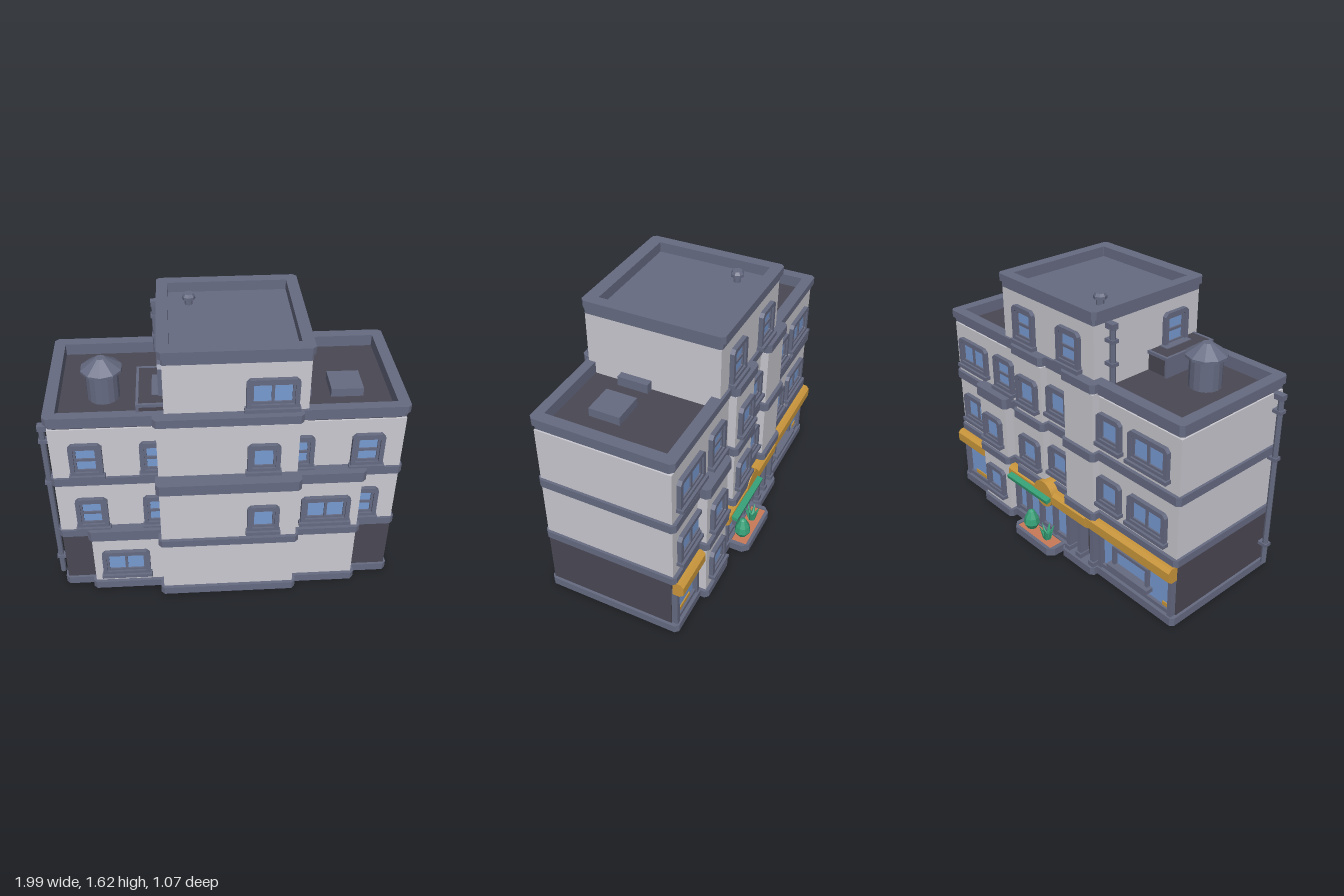
import * as THREE from 'three';

const mat = (name, color) => Object.assign(new THREE.MeshStandardMaterial({ color }), { name });
const M = {
  wall: mat('pale wall', 0xcac9d0),
  trim: mat('slate trim', 0x666b82),
  dark: mat('dark plaster', 0x4a4753),
  glass: mat('blue glass', 0x789bd2),
  gold: mat('mustard sign', 0xcb973c),
  green: mat('leaf green', 0x36a077),
  clay: mat('terracotta', 0xc87a58),
};
for (const key of ['trim', 'green']) M[key].flatShading = true;

export function createModel() {
  const root = new THREE.Group();
  root.name = 'building';

  const add = (name, geo, m, parent = root) => {
    const mesh = new THREE.Mesh(geo, m);
    mesh.name = name;
    parent.add(mesh);
    return mesh;
  };
  // box from its limits
  const box = (name, x0, x1, y0, y1, z0, z1, m, parent = root) => {
    const b = add(name, new THREE.BoxGeometry(x1 - x0, y1 - y0, z1 - z0), m, parent);
    b.position.set((x0 + x1) / 2, (y0 + y1) / 2, (z0 + z1) / 2);
    return b;
  };
  // rectangle with cut corners; b = cut of the lower corners
  const cutRect = (x0, x1, y0, y1, c, b = c, Type = THREE.Shape) => new Type([
    [x0 + b, y0], [x1 - b, y0], [x1, y0 + b], [x1, y1 - c],
    [x1 - c, y1], [x0 + c, y1], [x0, y1 - c], [x0, y0 + b],
  ].map(([x, y]) => new THREE.Vector2(x, y)));
  const extrude = (shape, depth) => new THREE.ExtrudeGeometry(shape, { depth, bevelEnabled: false });
  // horizontal slab with cut corners and optional rectangular holes [x0, x1, z0, z1]
  const slab = (name, x0, x1, z0, z1, y0, y1, m = M.trim, holes = [], c = 0.02) => {
    const s = cutRect(x0, x1, -z1, -z0, c);
    for (const [a, b, d, e] of holes) s.holes.push(cutRect(a, b, -e, -d, 0.001, 0.001, THREE.Path));
    const g = extrude(s, y1 - y0);
    g.rotateX(-Math.PI / 2);
    return Object.assign(add(name, g, m), {}).position.set(0, y0, 0);
  };
  const cyl = (name, rt, rb, y0, y1, x, z, m, n = 12) =>
    add(name, new THREE.CylinderGeometry(rt, rb, y1 - y0, n), m).position.set(x, (y0 + y1) / 2, z);

  // main storeys and their cornices
  box('groundFloor', -0.94, 0.98, 0.04, 0.4, -0.365, 0.39, M.dark);
  box('upperFloors', -0.94, 0.98, 0.4, 1.15, -0.38, 0.39, M.wall);
  slab('basePlinth', -0.955, 0.995, -0.41, 0.405, 0, 0.05);
  slab('firstCornice', -0.955, 0.995, -0.4, 0.405, 0.39, 0.435);
  slab('secondCornice', -0.955, 0.995, -0.4, 0.405, 0.775, 0.825);
  slab('roofFloor', -0.93, 0.97, -0.37, 0.38, 1.14, 1.165, M.dark);
  slab('roofUnderband', -0.945, 0.985, -0.388, 0.396, 1.165, 1.19, M.trim, [[-0.89, 0.93, -0.335, 0.35]]);
  slab('roofParapet', -0.955, 0.995, -0.4, 0.405, 1.19, 1.235, M.trim, [[-0.89, 0.93, -0.335, 0.35]]);

  // projecting bays: x0, x1, wall depth, cornice levels
  const bay = (name, x0, x1, z, y0, levels) => {
    const top = levels[levels.length - 1][1];
    const s = Math.sign(z);
    const span = (p) => (s > 0 ? [0.3, z + p] : [z - p, -0.3]);
    box(name + 'Wall', x0, x1, y0, top - 0.01, ...span(0), M.wall);
    for (const [a, b] of levels) slab(name + 'Cornice', x0 - 0.018, x1 + 0.018, ...span(0.02), a, b);
  };
  const low = [[0, 0.05], [0.39, 0.435]], two = [...low, [0.78, 0.845]];
  bay('frontMiddleBay', -0.365, 0.4, 0.505, 0.02, two);
  bay('frontLowBay', -0.77, -0.3, 0.433, 0.02, [[0, 0.05], [0.39, 0.46]]);
  bay('frontSideBay', 0.35, 0.765, 0.45, 0.02, two);
  bay('backSideBay', 0.43, 0.69, -0.435, 0.02, two);
  // upper bays carry the roof edge
  const upper = [[0.39, 0.435], [0.775, 0.825]];
  for (const [name, x0, x1, z] of [['frontUpperBay', -0.365, 0.4, 0.435],
    ['backWindowBay', 0.08, 0.32, -0.425], ['backBlankBay', -0.35, -0.12, -0.425]]) {
    const s = Math.sign(z), span = (inner, p) => (s > 0 ? [inner, z + p] : [z - p, -inner]);
    box(name + 'Wall', x0, x1, s > 0 ? 0.8 : 0.4, 1.17, ...span(0.36, 0), M.wall);
    slab(name + 'Edge', x0 - 0.018, x1 + 0.018, ...span(0.37, 0.018), 1.185, 1.235);
    if (s < 0) for (const [a, b] of upper) slab(name + 'Cornice', x0 - 0.018, x1 + 0.018, ...span(0.3, 0.022), a, b);
  }

  // tower
  box('towerWall', -0.32, 0.445, 1.15, 1.55, -0.385, 0.39, M.wall);
  const towerHole = [[-0.28, 0.395, -0.34, 0.33]];
  slab('towerUnderband', -0.325, 0.45, -0.39, 0.395, 1.535, 1.572, M.trim, towerHole, 0.01);
  slab('towerParapet', -0.343, 0.46, -0.405, 0.405, 1.572, 1.615, M.trim, towerHole);
  box('towerRoof', -0.3, 0.41, 1.54, 1.556, -0.36, 0.35, M.trim);

  // windows, centred on x with the outer frame from y to y + h
  const windowUnit = (type, x, y, z, ry = 0) => {
    const g = new THREE.Group();
    g.name = type + 'Window';
    const w = type === 'wide' ? 0.28 : 0.18, h = type === 'tall' ? 0.21 : 0.18;
    const ring = (name, inset, t, d, c) => {
      const a = w / 2 - inset, b = a - t;
      const s = cutRect(-a, a, inset, h - inset, c, 0.003);
      s.holes.push(cutRect(-b, b, inset + t, h - inset - t, c * 0.5, 0.002, THREE.Path));
      add(name, extrude(s, d), M.trim, g);
    };
    ring('outerFrame', 0, 0.025, 0.025, 0.02);
    ring('innerFrame', 0.025, 0.014, 0.014, 0.006);
    const a = w / 2 - 0.03;
    box('pane', -a, a, 0.03, h - 0.03, 0, 0.005, M.glass, g);
    if (type === 'wide') box('mullion', -0.008, 0.008, 0.03, h - 0.03, 0, 0.014, M.trim, g);
    if (type === 'tall') box('crossbar', -a, a, h / 2 - 0.008, h / 2 + 0.008, 0, 0.014, M.trim, g);
    box('sill', -w / 2 - 0.008, w / 2 + 0.008, -0.016, 0.006, 0, 0.04, M.trim, g);
    g.position.set(x, y, z);
    g.rotation.y = ry;
    root.add(g);
  };
  // front
  for (const x of [-0.75, -0.37, 0.4, 0.785]) windowUnit('tall', x, 0.85, 0.39);
  for (const x of [-0.75, -0.37, 0.79]) windowUnit('tall', x, 0.465, 0.39);
  windowUnit('square', 0.21, 0.87, 0.435);
  windowUnit('square', 0.21, 0.49, 0.505);
  windowUnit('wide', 0.57, 0.49, 0.45);
  windowUnit('wide', -0.58, 0.115, 0.433);
  windowUnit('wide', 0.25, 1.26, 0.39);
  // back
  for (const y of [0.5, 0.89]) {
    for (const x of [0.79, -0.73]) windowUnit('wide', x, y, -0.38, Math.PI);
    windowUnit('square', 0.2, y, -0.425, Math.PI);
    for (const x of [-0.02, -0.44]) windowUnit('square', x, y, -0.38, Math.PI);
  }
  windowUnit('square', 0.56, 0.5, -0.435, Math.PI);
  windowUnit('square', 0.56, 0.13, -0.435, Math.PI);
  windowUnit('tall', 0.48, 0.87, -0.38, Math.PI);
  for (const x of [0.25, -0.13]) windowUnit('tall', x, 1.255, -0.385, Math.PI);
  windowUnit('tall', -0.32, 1.255, 0.2, -Math.PI / 2);

  // shop fronts: glass with posts and rails
  const shop = (x0, x1, posts) => {
    box('shopGlass', x0, x1, 0.05, 0.32, -0.372, -0.366, M.glass);
    box('shopRail', x0, x1, 0.05, 0.075, -0.39, -0.36, M.trim);
    for (const x of posts) box('shopPost', x - 0.013, x + 0.013, 0.05, 0.32, -0.4, -0.36, M.trim);
  };
  shop(0.71, 0.97, [0.72, 0.96]);
  shop(-0.93, -0.36, [-0.92, -0.37]);
  shop(-0.1, 0.42, [-0.09, 0.04, 0.17, 0.3, 0.41]);
  box('goldPanel', -0.9, -0.85, 0.075, 0.1, -0.378, -0.37, M.gold);
  box('goldPanel', 0.78, 0.9, 0.075, 0.1, -0.378, -0.37, M.gold);
  // framed display ledge in the large shop window
  for (const x of [-0.74, -0.48]) box('displayPost', x - 0.01, x + 0.01, 0.12, 0.25, -0.395, -0.37, M.trim);
  box('displayRail', -0.75, -0.47, 0.235, 0.255, -0.395, -0.37, M.trim);
  box('displaySill', -0.77, -0.45, 0.11, 0.135, -0.42, -0.37, M.trim);
  // entrance
  for (const x of [-0.12, -0.22, -0.33]) {
    box('doorPillar', x - 0.015, x + 0.015, 0.05, 0.31, -0.425, -0.36, M.trim);
    box('pillarFoot', x - 0.022, x + 0.022, 0.05, 0.08, -0.435, -0.36, M.trim);
  }
  slab('entranceStep', -0.36, -0.08, -0.45, -0.36, 0, 0.05);

  // sign bands with a round badge
  const sign = (x0, x1, z) => {
    const s = new THREE.Shape([[0, 0.3], [0.04, 0.3], [0.065, 0.32], [0.065, 0.375], [0.045, 0.395], [0, 0.395]]
      .map(([a, b]) => new THREE.Vector2(a, b)));
    const g = extrude(s, x1 - x0);
    g.rotateY(Math.PI / 2);
    const m = add('signBand', g, M.gold);
    m.position.set(x0, 0, z);
  };
  sign(0.71, 0.98, -0.375);
  sign(-0.3, 0.41, -0.385);
  sign(-0.945, -0.3, -0.375);
  const badge = add('signBadge', new THREE.CylinderGeometry(0.085, 0.085, 0.075, 16), M.gold);
  badge.rotation.x = Math.PI / 2;
  badge.position.set(0.07, 0.36, -0.415);
  const awning = box('awning', 0, 0.38, 0.335, 0.36, -0.485, -0.435, M.green);
  awning.rotation.x = -0.2;

  // planter and plants
  slab('planterRim', -0.07, 0.3, -0.525, -0.36, 0, 0.05, M.trim, [[-0.045, 0.275, -0.505, -0.38]], 0.035);
  box('planterSoil', -0.05, 0.28, 0.005, 0.042, -0.508, -0.375, M.clay);
  const bush = add('roundBush', new THREE.LatheGeometry([[0, 0], [0.03, 0.005], [0.05, 0.04], [0.042, 0.08], [0.02, 0.125], [0, 0.135]]
    .map(([r, y]) => new THREE.Vector2(r, y)), 8), M.green);
  bush.position.set(0.2, 0.04, -0.45);
  for (let i = 0; i < 6; i++) {
    const leaf = add('spikyLeaf', new THREE.ConeGeometry(0.02, 0.11, 5), M.green);
    const a = i * Math.PI / 3;
    leaf.position.set(0.05 + 0.025 * Math.cos(a), 0.085, -0.45 + 0.025 * Math.sin(a));
    leaf.rotation.set(0.4 * Math.sin(a), 0, -0.4 * Math.cos(a));
  }

  // water tank
  cyl('tankBody', 0.09, 0.09, 1.16, 1.34, -0.65, 0.1, M.trim, 16);
  cyl('tankEave', 0.115, 0.115, 1.335, 1.35, -0.65, 0.1, M.trim, 10);
  cyl('tankRoof', 0.027, 0.115, 1.35, 1.412, -0.65, 0.1, M.trim, 10);

  // rooftop equipment
  box('stairHousing', -0.46, -0.32, 1.16, 1.28, 0.01, 0.36, M.dark);
  box('stairHousingRim', -0.465, -0.45, 1.16, 1.283, 0, 0.37, M.trim);
  for (const z of [0, 0.355]) box('stairHousingRim', -0.46, -0.32, 1.265, 1.283, z, z + 0.015, M.trim);
  box('stairLanding', -0.38, -0.32, 1.27, 1.284, 0.09, 0.28, M.trim);
  box('roofHatch', 0.6, 0.78, 1.16, 1.215, 0.01, 0.19, M.trim);
  box('wallVent', 0.44, 0.49, 1.16, 1.22, 0.01, 0.19, M.trim);
  cyl('fluePipe', 0.022, 0.022, 1.55, 1.6, -0.163, -0.2, M.trim, 8);
  cyl('flueCap', 0.027, 0.037, 1.605, 1.622, -0.163, -0.2, M.trim, 8);
  cyl('flueCollar', 0.037, 0.037, 1.59, 1.606, -0.163, -0.2, M.trim, 8);

  // drain pipes bent into the wall at the top
  const drain = (x, z, y0, y1, brackets) => {
    cyl('drainPipe', 0.017, 0.017, y0, y1, x, z, M.trim, 8);
    box('drainElbow', x - 0.02, x + 0.05, y1 - 0.02, y1 + 0.012, z - 0.02, z + 0.02, M.trim);
    for (const y of brackets) box('drainBracket', x - 0.022, x + 0.04, y, y + 0.02, z - 0.022, z + 0.022, M.trim);
  };
  drain(-0.975, 0.335, 0.05, 1.14, [0.17, 0.75, 1.04]);
  drain(-0.358, -0.29, 1.2, 1.525, [1.3, 1.43]);

  return root;
}
